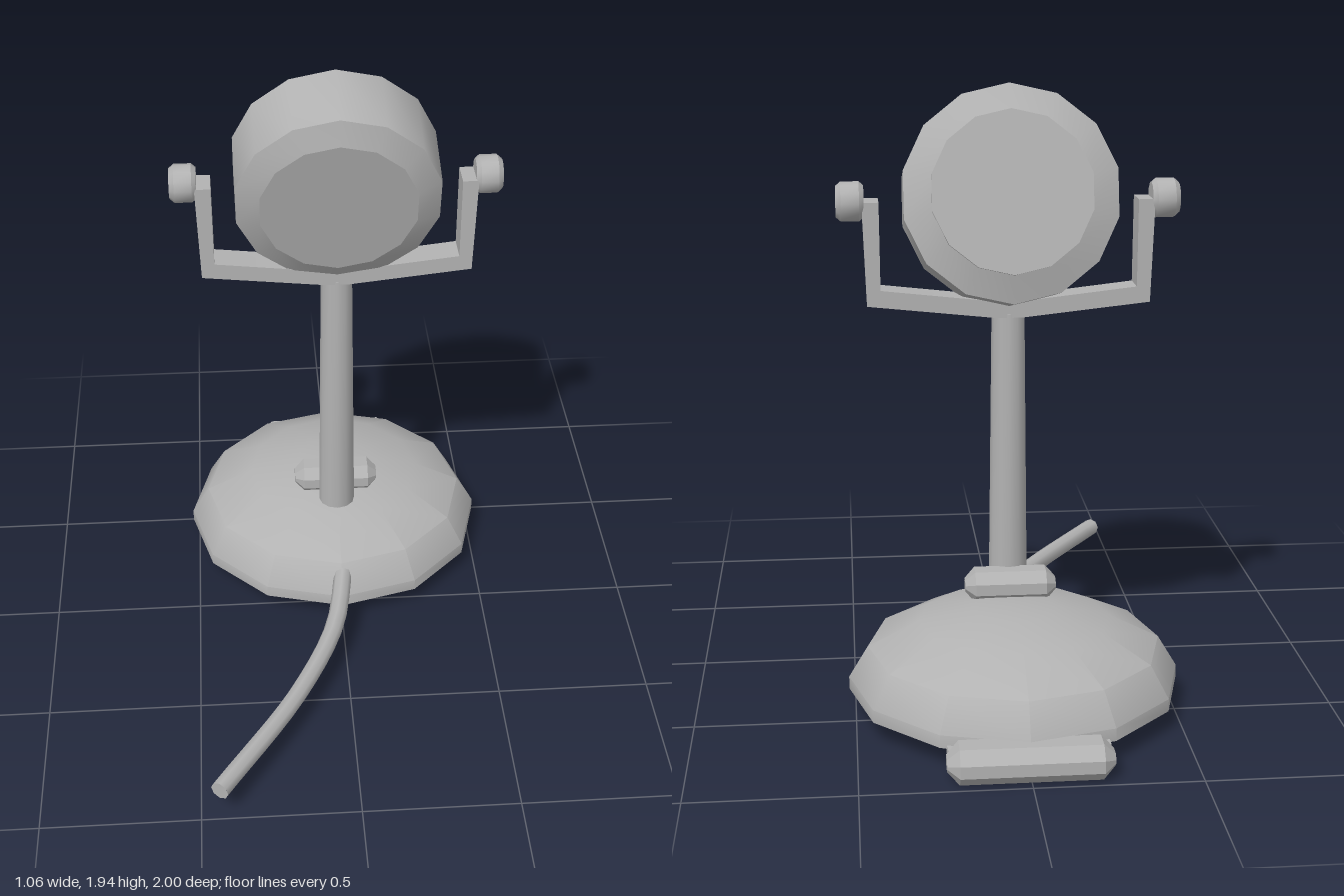
import * as THREE from 'three';
import { toCreasedNormals } from 'three/addons/utils/BufferGeometryUtils.js';

const grey = new THREE.MeshStandardMaterial({ color: 0xb2b2b2 });
grey.name = 'grey';
const greyOpen = grey; // one colour for the whole model

const v2 = (pts) => pts.map(([x, y]) => new THREE.Vector2(x, y));

function add(parent, name, geometry, x = 0, y = 0, z = 0, crease = 0.6) {
  const mesh = new THREE.Mesh(toCreasedNormals(geometry, crease), greyOpen);
  mesh.name = name;
  mesh.position.set(x, y, z);
  parent.add(mesh);
  return mesh;
}

// Bar lying along x, with every edge chamfered by c
function chamferedBar(w, h, d, c) {
  const a = d / 2, b = h / 2;
  const section = new THREE.Shape(v2([
    [-a + c, -b], [a - c, -b], [a, -b + c], [a, b - c],
    [a - c, b], [-a + c, b], [-a, b - c], [-a, -b + c],
  ]));
  const g = new THREE.ExtrudeGeometry(section, {
    depth: w - 2 * c, bevelEnabled: true, bevelSegments: 1,
    bevelSize: c, bevelThickness: c, bevelOffset: -c,
  });
  return g.translate(0, 0, -(w - 2 * c) / 2).rotateY(Math.PI / 2);
}

export function createModel() {
  const model = new THREE.Group();
  model.name = 'standMicrophone';

  // Domed base
  add(model, 'base', new THREE.LatheGeometry(v2([
    [0, 0.07], [0.52, 0.07], [0.52, 0.11], [0.46, 0.21], [0.3, 0.29], [0.13, 0.325], [0, 0.33],
  ]), 12), 0, 0, -0.41);

  // Talk lever under the base: flat plate and grip at the back
  add(model, 'leverPlate', new THREE.BoxGeometry(0.48, 0.03, 0.48), 0, 0.065, -0.66);
  add(model, 'leverGrip', chamferedBar(0.49, 0.11, 0.14, 0.036), 0, 0.055, -0.93, 0.3);

  // Switch on top of the base, behind the pole
  add(model, 'switch', chamferedBar(0.29, 0.1, 0.12, 0.032), 0, 0.355, -0.28, 0.3);

  // Pole
  add(model, 'pole', new THREE.CylinderGeometry(0.052, 0.062, 0.925, 12), 0, 0.7675, -0.205);

  // U-shaped yoke
  const half = [[0.04, 1.22], [0.44, 1.263], [0.452, 1.585], [0.4, 1.585], [0.398, 1.312], [0.04, 1.272]];
  const outline = [...half, ...half.slice().reverse().map(([x, y]) => [-x, y])];
  add(model, 'yoke', new THREE.ExtrudeGeometry(new THREE.Shape(v2(outline)),
    { depth: 0.1, bevelEnabled: false }), 0, 0, -0.255, 0.3);

  // Side knobs
  for (const side of [1, -1]) {
    const knob = add(model, side > 0 ? 'leftKnob' : 'rightKnob', new THREE.LatheGeometry(v2([
      [0, 0], [0.05, 0], [0.062, 0.014], [0.062, 0.07], [0.048, 0.086], [0, 0.086],
    ]), 12), side * 0.445, 1.583, -0.208);
    knob.rotation.z = -side * Math.PI / 2;
  }

  // Tilted drum head
  const head = new THREE.Group();
  head.name = 'head';
  head.position.set(0, 1.587, -0.2);
  head.rotation.x = Math.PI / 2 + 0.248;
  add(head, 'headBody', new THREE.LatheGeometry(v2([
    [0.25, -0.163], [0.335, -0.126], [0.332, 0.113], [0.255, 0.147],
  ]), 14));
  add(head, 'frontFace', new THREE.CircleGeometry(0.255, 14).rotateZ(Math.PI / 2).rotateX(-Math.PI / 2), 0, 0.147, 0);
  add(head, 'backPlate', new THREE.CylinderGeometry(0.25, 0.25, 0.02, 14), 0, -0.165, 0);
  model.add(head);

  // Cable trailing to the front, with closed end
  const points = [[0.01, 0.175, 0.0], [0, 0.16, 0.08], [-0.04, 0.128, 0.28], [-0.18, 0.108, 0.58], [-0.44, 0.105, 0.982]]
    .map((p) => new THREE.Vector3(...p));
  const path = new THREE.CatmullRomCurve3(points);
  add(model, 'cable', new THREE.TubeGeometry(path, 14, 0.031, 8), 0, 0, 0, 0.9);
  const end = add(model, 'cableEnd', new THREE.CircleGeometry(0.031, 8), ...points[4].toArray());
  end.lookAt(points[4].clone().add(path.getTangent(1)));

  return model;
}
